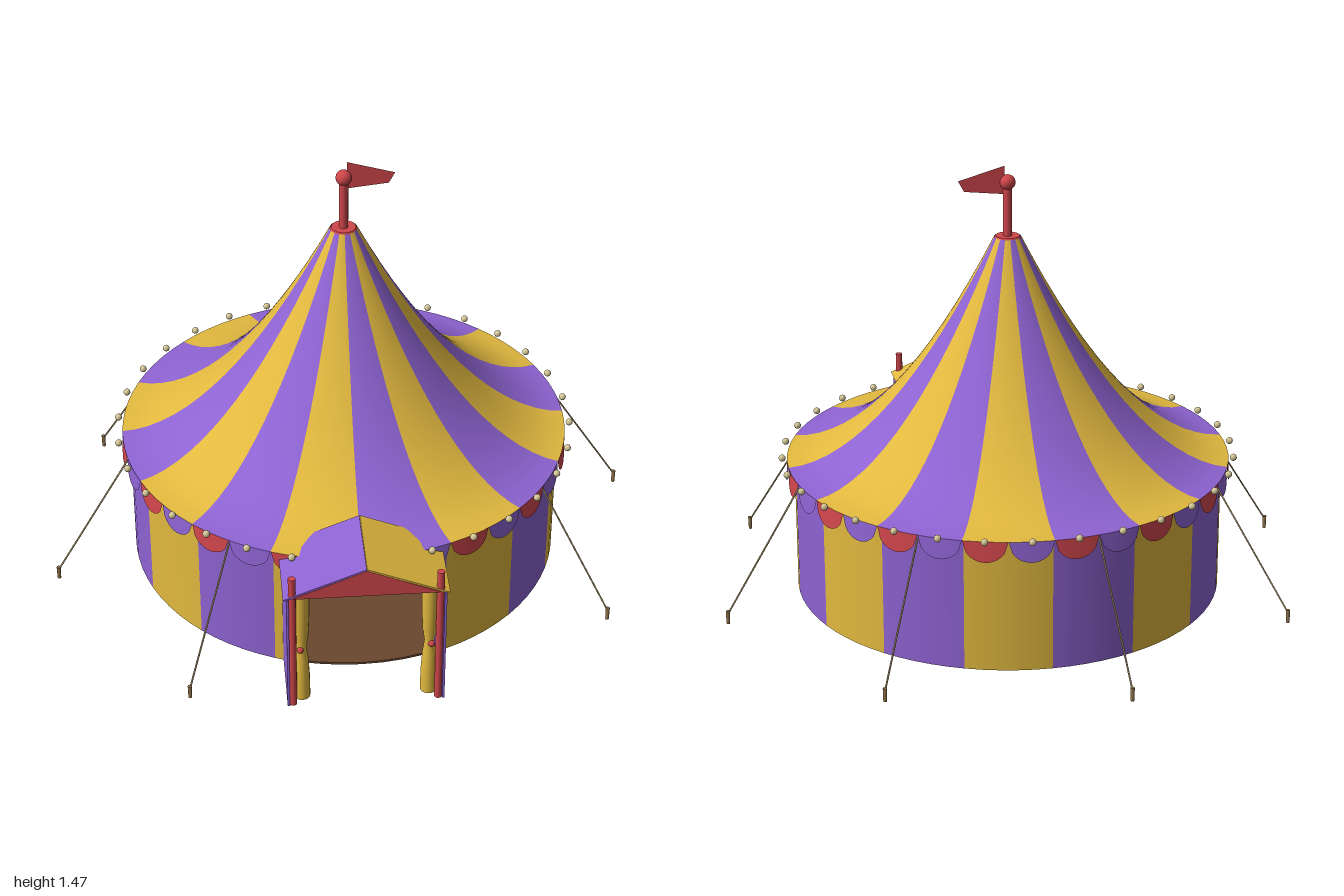
import * as THREE from 'three';

const CZ = 0.045;      // tent centre along z
const WALL_R = 0.725, EAVE_R = 0.75, EAVE_Y = 0.46, TOP_R = 0.045, TOP_Y = 1.225;

function material(name, color, side = THREE.FrontSide) {
  const m = new THREE.MeshStandardMaterial({ color, side });
  m.name = name;
  return m;
}

export function createModel() {
  const yellow = material('yellow cloth', 0xe2b93f, THREE.DoubleSide);
  const purple = material('purple cloth', 0x8e63d2, THREE.DoubleSide);
  const red = material('red paint', 0xd0464c, THREE.DoubleSide);
  const brown = material('earth floor', 0x6b4830);
  const cream = material('cream bulb', 0xd6c898);
  const ropeTan = material('rope', 0xb09c70);
  const wood = material('stake wood', 0x94754a);

  const model = new THREE.Group();
  model.name = 'stripedTent';
  const tent = new THREE.Group();
  tent.name = 'roundTent';
  tent.position.z = CZ;
  model.add(tent);

  function add(parent, name, geometry, mat, x = 0, y = 0, z = 0) {
    const mesh = new THREE.Mesh(geometry, mat);
    mesh.name = name;
    mesh.position.set(x, y, z);
    parent.add(mesh);
    return mesh;
  }

  // Floor disc
  add(tent, 'floor', new THREE.CylinderGeometry(WALL_R - 0.002, WALL_R - 0.002, 0.008, 64), brown, 0, 0.004);

  // Sixteen striped wall and roof sectors; phi = 0 faces the front
  const roofProfile = [];
  for (let i = 0; i <= 16; i++) {
    const t = 1 - i / 16;
    roofProfile.push(new THREE.Vector2(
      TOP_R + (EAVE_R - TOP_R) * t,
      EAVE_Y + (TOP_Y - EAVE_Y) * Math.pow(1 - t, 1.85)));
  }
  const wallProfile = [new THREE.Vector2(WALL_R, 0), new THREE.Vector2(WALL_R, EAVE_Y)];
  const step = Math.PI / 8;
  const doorHalf = THREE.MathUtils.degToRad(18.5);
  for (let k = 0; k < 16; k++) {
    const cloth = k % 2 ? yellow : purple;
    add(tent, 'roofStripe', new THREE.LatheGeometry(roofProfile, 5, k * step, step), cloth);
    // The two front wall stripes are cut back for the doorway
    const start = k === 0 ? doorHalf : k * step;
    const end = k === 15 ? 2 * Math.PI - doorHalf : (k + 1) * step;
    add(tent, 'wallStripe', new THREE.LatheGeometry(wallProfile, 5, start, end - start), cloth);
  }

  // Scalloped valance and bulbs along the eave
  const bulb = new THREE.SphereGeometry(0.012, 12, 8);
  const arc = Math.PI / 16;
  for (let k = 0; k < 32; k++) {
    const g = new THREE.PlaneGeometry(1, 1, 12, 1);
    const p = g.attributes.position;
    for (let i = 0; i < p.count; i++) {
      const u = p.getX(i), down = 0.5 - p.getY(i);
      const phi = (k + 0.5 + u) * arc;
      const drop = down * 0.07 * Math.sqrt(Math.max(0, 1 - 4 * u * u));
      const r = 0.748 + drop * 0.08;
      p.setXYZ(i, r * Math.sin(phi), EAVE_Y - drop, r * Math.cos(phi));
    }
    g.computeVertexNormals();
    add(tent, 'valanceScallop', g, k % 2 ? purple : red);
    const a = (k + 0.5) * arc;
    add(tent, 'eaveBulb', bulb, cream, 0.766 * Math.sin(a), 0.466, 0.766 * Math.cos(a));
  }

  // Central pole, cap, ball and pennant
  add(tent, 'centrePole', new THREE.CylinderGeometry(0.015, 0.015, 1.4, 16), red, 0, 0.7);
  add(tent, 'roofCap', new THREE.CylinderGeometry(0.04, 0.045, 0.008, 32), red, 0, TOP_Y);
  add(tent, 'poleBall', new THREE.SphereGeometry(0.026, 20, 14), red, 0, 1.41);
  const flag = new THREE.Shape([
    [0.01, 1.37], [0.145, 1.385], [0.165, 1.422], [0.01, 1.466],
  ].map(([x, y]) => new THREE.Vector2(x, y)));
  add(tent, 'flag', new THREE.ShapeGeometry(flag), red);

  // Guy ropes and stakes every 45 degrees, leaving out the entrance
  for (let k = 0; k < 8; k++) {
    if (k === 2) continue;
    const a = THREE.MathUtils.degToRad(-11.25 + 45 * k);
    const at = (r, y) => new THREE.Vector3(r * Math.cos(a), y, r * Math.sin(a));
    const line = new THREE.LineCurve3(at(0.745, 0.45), at(1.007, 0.035));
    add(tent, 'guyRope', new THREE.TubeGeometry(line, 1, 0.003, 6), ropeTan);
    const s = at(1.007, 0.023);
    add(tent, 'stake', new THREE.CylinderGeometry(0.007, 0.006, 0.046, 8), wood, s.x, s.y, s.z);
  }

  // Entrance porch
  const porch = new THREE.Group();
  porch.name = 'entrancePorch';
  model.add(porch);
  const slope = Math.atan2(0.105, 0.26), slopeLength = Math.hypot(0.105, 0.26);
  const curtainProfile = [
    [0.027, 0.015], [0.026, 0.1], [0.022, 0.17], [0.016, 0.215], [0.022, 0.26], [0.026, 0.34], [0.027, 0.44],
  ].map(([r, y]) => new THREE.Vector2(r, y));
  for (const side of [-1, 1]) {
    const roof = add(porch, 'porchRoof', new THREE.BoxGeometry(slopeLength, 0.006, 0.275),
      side < 0 ? purple : yellow, side * 0.13, 0.4845, 0.8125);
    roof.rotation.z = -side * slope;
    add(porch, 'porchSide', new THREE.BoxGeometry(0.008, 0.43, 0.235), purple, side * 0.247, 0.22, 0.8375);
    add(porch, 'porchPole', new THREE.CylinderGeometry(0.012, 0.012, 0.51, 12), red, side * 0.232, 0.255, 0.938);
    add(porch, 'curtain', new THREE.LatheGeometry(curtainProfile, 16), yellow, side * 0.203, 0, 0.915);
    add(porch, 'curtainTie', new THREE.SphereGeometry(0.011, 12, 8), red, side * 0.208, 0.215, 0.932);
  }
  // Red front gable
  const gable = new THREE.Shape([
    new THREE.Vector2(-0.235, 0.437), new THREE.Vector2(0.235, 0.437), new THREE.Vector2(0, 0.535),
  ]);
  add(porch, 'porchGable', new THREE.ExtrudeGeometry(gable, { depth: 0.008, bevelEnabled: false }), red, 0, 0, 0.943);

  return model;
}
